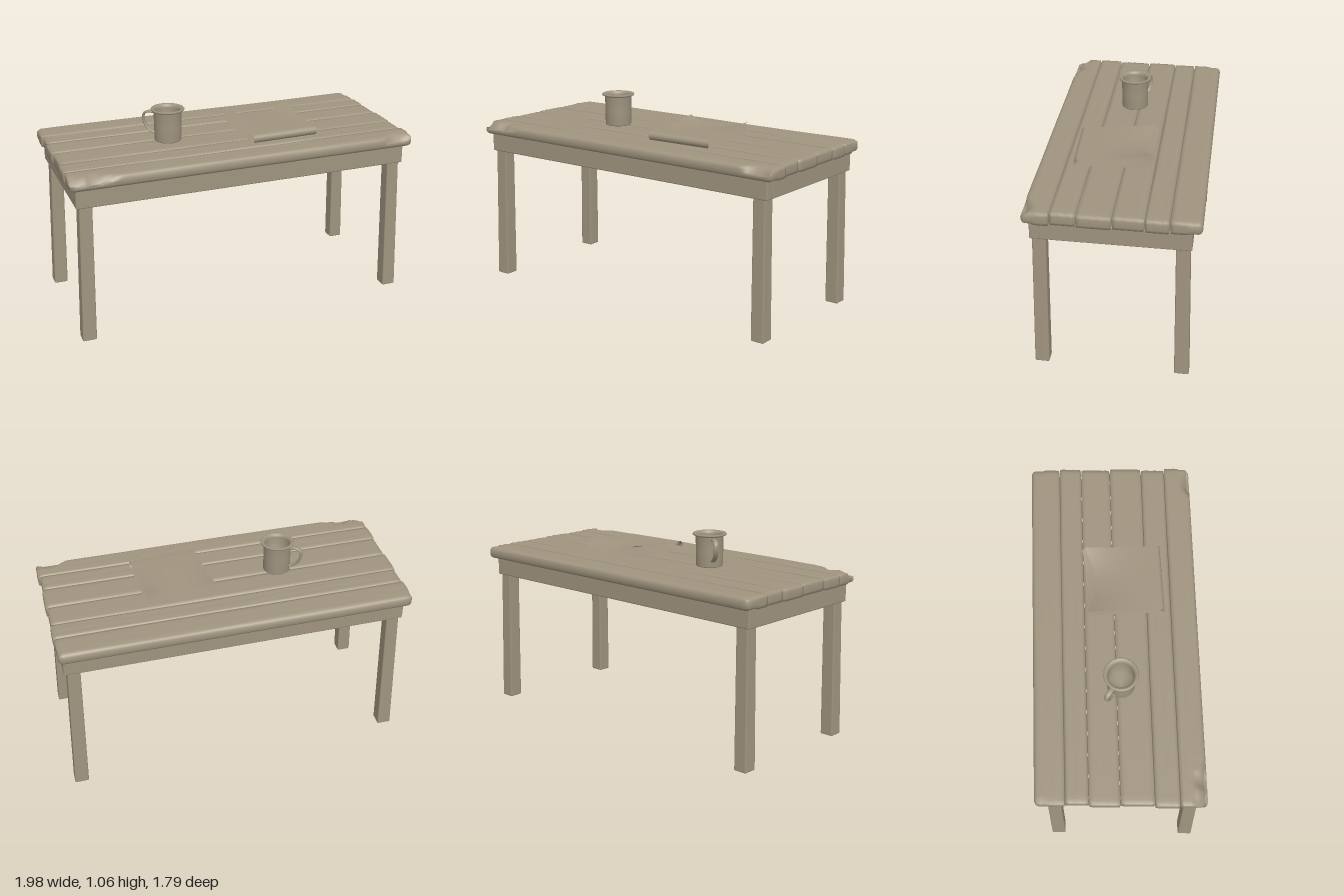
import * as THREE from 'three';
import { mergeVertices } from 'three/addons/utils/BufferGeometryUtils.js';
import { RoundedBoxGeometry } from 'three/addons/geometries/RoundedBoxGeometry.js';

const clamp = THREE.MathUtils.clamp, smooth = THREE.MathUtils.smoothstep;

// Move every vertex by a rule, then weld and smooth the result
function deform(geo, rule) {
  const pos = geo.attributes.position, v = new THREE.Vector3();
  for (let i = 0; i < pos.count; i++) {
    v.fromBufferAttribute(pos, i);
    rule(v);
    pos.setXYZ(i, v.x, v.y, v.z);
  }
  geo.deleteAttribute('uv');
  geo.deleteAttribute('normal');
  const out = mergeVertices(geo, 1e-5);
  out.computeVertexNormals();
  return out;
}

export function createModel() {
  const group = new THREE.Group();
  const clay = new THREE.MeshStandardMaterial({ color: 0xa0947f, side: THREE.DoubleSide });
  clay.name = 'weatheredClay';
  const add = (name, geo) => {
    const mesh = new THREE.Mesh(geo, clay);
    mesh.name = name;
    group.add(mesh);
    return mesh;
  };

  // The table is laid out along x, slightly skewed, then turned on the floor
  const turn = new THREE.Matrix4().makeRotationY(THREE.MathUtils.degToRad(35.7));
  const skew = new THREE.Matrix4().set(1, 0, -0.04, 0, 0, 1, 0, 0, 0, 0, 1, 0, 0, 0, 0, 1);
  const place = turn.multiply(skew);
  const addTable = (name, geo) => add(name, geo.applyMatrix4(place));

  // Broken patches along the front edge of the top
  const chip = x => Math.max(
    smooth(x, -1.1, -0.93) * (1 - smooth(x, -0.8, -0.66)) * (0.8 + 0.2 * Math.sin(x * 60)),
    0.8 * smooth(x, 0.76, 0.84) * (1 - smooth(x, 0.9, 0.96)));

  // Planks: [back edge, front edge, left end, right end]
  const planks = [
    [-0.438, -0.285, -0.935, 0.928], [-0.284, -0.167, -0.928, 0.934],
    [-0.166, -0.011, -0.936, 0.93], [-0.01, 0.16, -0.93, 0.938],
    [0.161, 0.286, -0.938, 0.932], [0.287, 0.423, -0.935, 0.945],
  ];
  planks.forEach(([z0, z1, x0, x1], i) => {
    const L = x1 - x0, W = z1 - z0, H = 0.065;
    const side = i === 0 ? -1 : i === planks.length - 1 ? 1 : 0;
    const geo = deform(new THREE.BoxGeometry(L, H, W, 80, 4, 8), p => {
      const r = p.z * side > 0 ? 0.024 : 0.009;
      const inner = new THREE.Vector3(
        clamp(p.x, r - L / 2, L / 2 - r), clamp(p.y, r - H / 2, H / 2 - r), clamp(p.z, r - W / 2, W / 2 - r));
      const d = p.clone().sub(inner);
      if (d.lengthSq() > 0) p.copy(inner).addScaledVector(d.normalize(), r);
      p.x += (x0 + x1) / 2;
      p.z += (z0 + z1) / 2;
      // Gentle grain and wear on the upper side
      if (p.y > 0) {
        p.y += 0.0012 * Math.sin(p.z * 130 + 2 * Math.sin(p.x * 4 + i)) - 0.001;
        if (side > 0) {
          const c = chip(p.x);
          const wear = c * smooth(p.z, 0.425 - 0.085 * c, 0.425);
          p.y -= 0.035 * wear;
          p.z -= 0.012 * wear;
        }
      }
      p.y += 0.8575;
    });
    addTable('plank', geo);
  });

  // Apron under the top
  const apronY = 0.776, apronH = 0.098;
  for (const s of [-1, 1]) {
    const long = new RoundedBoxGeometry(1.81, apronH, 0.055, 2, 0.006);
    addTable('longApron', long.translate(0, apronY, s * 0.3625));
    const short = new RoundedBoxGeometry(0.055, apronH, 0.68, 2, 0.006);
    addTable('shortApron', short.translate(s * 0.8775, apronY, 0));
  }

  // Slightly splayed, worn legs
  for (const sx of [-1, 1]) for (const sz of [-1, 1]) {
    const geo = deform(new RoundedBoxGeometry(0.074, 0.745, 0.074, 2, 0.007), p => {
      const t = p.y / 0.745 + 0.5;
      const taper = 1 - 0.08 * t;
      p.x = p.x * taper + sx * (0.867 - 0.013 * t);
      p.z = p.z * taper + sz * (0.354 - 0.008 * t);
      p.y += 0.3725;
    });
    addTable('leg', geo);
  }

  // Enamel mug: one turned wall with a flared lip
  const mug = new THREE.Group();
  mug.name = 'mug';
  mug.position.set(-0.248, 0.89, 0.193);
  const profile = [
    [0, 0], [0.066, 0], [0.071, 0.005], [0.072, 0.08], [0.073, 0.158], [0.079, 0.163], [0.087, 0.165],
    [0.089, 0.17], [0.086, 0.175], [0.077, 0.174], [0.068, 0.168], [0.065, 0.155], [0.064, 0.012], [0, 0.01],
  ].map(p => new THREE.Vector2(...p));
  const cup = new THREE.Mesh(new THREE.LatheGeometry(profile, 40), clay);
  cup.name = 'mugCup';
  const path = new THREE.CatmullRomCurve3([
    [-0.066, 0.145], [-0.1, 0.15], [-0.128, 0.138], [-0.133, 0.105], [-0.118, 0.07], [-0.092, 0.045], [-0.066, 0.034],
  ].map(([x, y]) => new THREE.Vector3(x, y, 0)));
  const strap = new THREE.TubeGeometry(path, 32, 0.0065, 10);
  strap.scale(1, 1, 2);
  strap.computeVertexNormals();
  const handle = new THREE.Mesh(strap, clay);
  handle.name = 'mugHandle';
  mug.add(cup, handle);
  group.add(mug);

  // Folded sheets: bottom half, round fold at the front, lifted top half
  function foldedSheet({ base, r, depth, start, width, lift, sag, inset, droop }) {
    return deform(new THREE.PlaneGeometry(1, 1, 20, 50), p => {
      const a = p.x * 2, s = p.y + 0.5, a2 = a * a;
      let q, y;
      if (s < 0.4) {
        const t = 1 - s / 0.4;
        q = r + t * (depth - 0.02 - r);
        y = base + t * t * droop * a2;
      } else if (s <= 0.6) {
        const ang = (s - 0.4) / 0.2 * Math.PI;
        q = r - r * Math.sin(ang);
        y = base + r - r * Math.cos(ang);
      } else {
        const t = (s - 0.6) / 0.4;
        q = r + t * (depth - inset * (1 - a2) - r);
        y = base + 2 * r + t * t * (lift * a2 - sag * (1 - a2));
      }
      p.set(a * width / 2, y, -q - start);
    });
  }
  const sheets = new THREE.Group();
  sheets.name = 'foldedSheets';
  sheets.position.set(0.3575, 0, 0.0475);
  sheets.rotation.y = THREE.MathUtils.degToRad(35.7);
  sheets.rotation.y += 0.03;
  const layers = [
    { base: 0.891, r: 0.0225, depth: 0.4, start: 0, width: 0.362, lift: 0.029, sag: 0.006, inset: 0.045, droop: 0.008 },
    { base: 0.896, r: 0.0165, depth: 0.405, start: 0.007, width: 0.358, lift: 0.012, sag: 0.008, inset: 0.02, droop: 0.01 },
    { base: 0.902, r: 0.0095, depth: 0.395, start: 0.015, width: 0.354, lift: 0.004, sag: 0.008, inset: 0.01, droop: 0.008 },
  ];
  for (const layer of layers) {
    const mesh = new THREE.Mesh(foldedSheet(layer), clay);
    mesh.name = 'foldedSheet';
    sheets.add(mesh);
  }
  group.add(sheets);

  return group;
}
